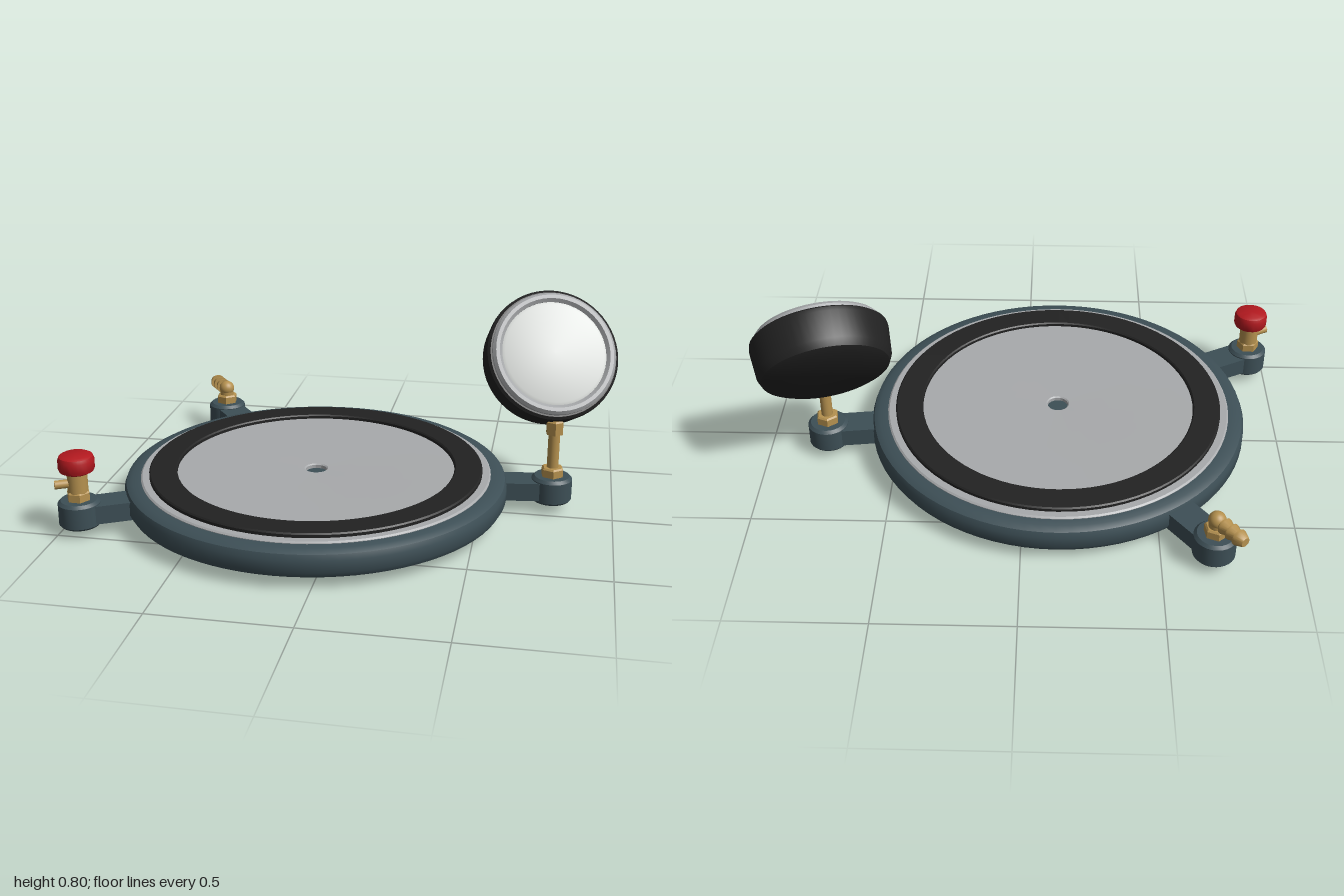
import * as THREE from 'three';
import { toCreasedNormals } from 'three/addons/utils/BufferGeometryUtils.js';

const paint = (name, color) => {
  const m = new THREE.MeshStandardMaterial({ color });
  m.name = name;
  return m;
};

export function createModel() {
  const teal = paint('teal enamel', 0x3d4f56);
  const steel = paint('brushed steel', 0xa8aaac);
  const rubber = paint('black rubber', 0x222222);
  const brass = paint('brass', 0xb5914f);
  const red = paint('red', 0xb3191f);
  const dialWhite = paint('dial white', 0xd9dcd9);

  const model = new THREE.Group();
  model.name = 'vacuumPlate';

  const add = (parent, name, geometry, material, x = 0, y = 0, z = 0) => {
    const mesh = new THREE.Mesh(geometry, material);
    mesh.name = name;
    mesh.position.set(x, y, z);
    parent.add(mesh);
    return mesh;
  };
  // Turned part: profile runs from the bottom, outwards and up
  const turned = (profile, segments = 32) => toCreasedNormals(
    new THREE.LatheGeometry(profile.map(([r, y]) => new THREE.Vector2(r, y)), segments), 0.6);
  const rod = (r, y0, y1, sides = 24) =>
    new THREE.CylinderGeometry(r, r, y1 - y0, sides).translate(0, (y0 + y1) / 2, 0);
  const hex = (r, y0, y1) => turned([
    [0, y0], [r, y0], [r, y1 - 0.006], [r - 0.006, y1], [0, y1]], 6);

  // Round plate, recessed underneath
  const base = new THREE.Group();
  base.name = 'base';
  base.position.set(-0.128, 0, 0.0375);
  model.add(base);
  add(base, 'plateBody', turned([
    [0, 0.06], [0.54, 0.06], [0.59, 0.037], [0.695, 0.037], [0.718, 0.047], [0.73, 0.068],
    [0.73, 0.112], [0.722, 0.132], [0.7, 0.145], [0.66, 0.145], [0.65, 0.128], [0, 0.128]], 80), teal);
  add(base, 'topDisc', turned([
    [0.04, 0.128], [0.668, 0.128], [0.668, 0.147], [0.662, 0.152], [0.53, 0.152],
    [0.045, 0.145], [0.04, 0.141], [0.04, 0.128]], 80), steel);
  add(base, 'gasket', turned([
    [0.53, 0.14], [0.636, 0.14], [0.636, 0.163], [0.631, 0.168], [0.535, 0.168],
    [0.53, 0.163], [0.53, 0.14]], 80), rubber);
  for (let i = 0; i < 3; i++) {
    const a = Math.PI / 6 + i * Math.PI * 2 / 3;
    add(base, 'foot', turned([[0, 0], [0.036, 0], [0.043, 0.007], [0.043, 0.04], [0, 0.04]]),
      rubber, 0.62 * Math.cos(a), 0, 0.62 * Math.sin(a));
  }

  // Three arms, each with a boss at the end; local +x points outwards
  const makeArm = (name, degrees) => {
    const a = THREE.MathUtils.degToRad(degrees);
    const arm = new THREE.Group();
    arm.name = name;
    arm.position.set(0.902 * Math.cos(a), 0, 0.902 * Math.sin(a));
    arm.rotation.y = -a;
    base.add(arm);
    add(arm, 'armBar', new THREE.BoxGeometry(0.26, 0.07, 0.115), teal, -0.13, 0.085, 0);
    add(arm, 'boss', turned([
      [0, 0.037], [0.07, 0.037], [0.077, 0.045], [0.077, 0.124], [0.066, 0.135], [0, 0.135]]), teal);
    add(arm, 'nut', hex(0.044, 0.13, 0.17), brass);
    return arm;
  };

  // Release valve with red knob and outlet
  const valve = makeArm('releaseValve', 152);
  add(valve, 'valveBody', rod(0.037, 0.165, 0.25), brass);
  add(valve, 'valveOutlet', rod(0.016, 0, 0.083).rotateZ(-Math.PI / 2), brass, 0, 0.2, 0);
  add(valve, 'knob', turned([
    [0, 0.243], [0.05, 0.243], [0.062, 0.25], [0.066, 0.26], [0.066, 0.292],
    [0.061, 0.305], [0.05, 0.311], [0, 0.311]]), red);

  // Hose connector with barbs
  const hose = makeArm('hoseConnector', 232);
  add(hose, 'elbow', rod(0.029, 0.165, 0.205), brass);
  add(hose, 'elbowCorner', new THREE.SphereGeometry(0.032, 24, 16), brass, 0, 0.197, 0);
  const barbs = [[0, 0], [0.02, 0]];
  for (let i = 0; i < 3; i++) {
    const s = 0.035 + i * 0.034;
    barbs.push([0.02, s], [0.031, s], [0.031, s + 0.006], [0.02, s + 0.032]);
  }
  barbs.push([0.018, 0.138], [0, 0.138]);
  add(hose, 'barbedNozzle', turned(barbs, 24).rotateZ(-Math.PI / 2), brass, 0, 0.195, 0);

  // Gauge stem
  const stem = makeArm('gaugeStem', 352.5);
  add(stem, 'post', rod(0.022, 0.165, 0.37), brass);
  add(stem, 'collar', hex(0.034, 0.305, 0.36), brass);

  // Tilted gauge head, built along its own axis
  const gauge = new THREE.Group();
  gauge.name = 'gauge';
  gauge.position.set(0.728, 0.557, -0.215);
  const tilt = THREE.MathUtils.degToRad(32), swing = THREE.MathUtils.degToRad(18);
  gauge.quaternion.setFromUnitVectors(new THREE.Vector3(0, 1, 0), new THREE.Vector3(
    Math.cos(tilt) * Math.sin(swing), Math.sin(tilt), Math.cos(tilt) * Math.cos(swing)));
  model.add(gauge);
  add(gauge, 'gaugeCase', turned([
    [0, -0.095], [0.205, -0.095], [0.232, -0.082], [0.245, -0.055], [0.254, 0.045],
    [0.252, 0.06], [0.242, 0.068], [0, 0.068]], 56), rubber);
  add(gauge, 'bezel', turned([
    [0.2, 0.06], [0.236, 0.06], [0.236, 0.08], [0.226, 0.092], [0.212, 0.092],
    [0.2, 0.08], [0.2, 0.06]], 56), steel);
  add(gauge, 'dial', turned([
    [0, 0.066], [0.202, 0.066], [0.202, 0.078], [0.19, 0.084], [0, 0.086]], 56), dialWhite);

  return model;
}
